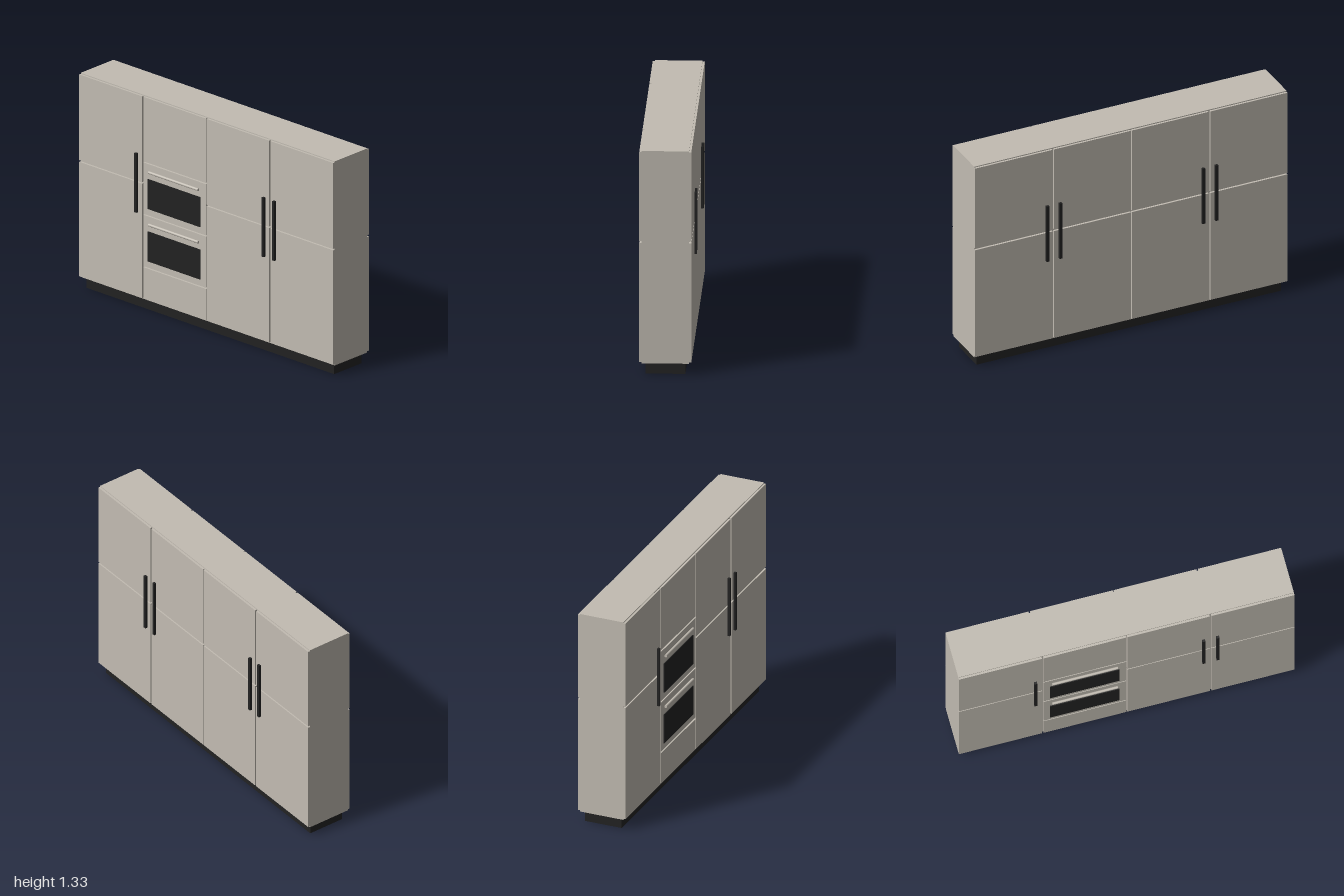
import * as THREE from 'three';

export function createModel() {
  const model = new THREE.Group();
  model.name = 'kitchenCabinetWall';

  const mat = (name, color) => {
    const m = new THREE.MeshStandardMaterial({ color });
    m.name = name;
    return m;
  };
  const lacquer = mat('greige lacquer', 0xc2bcb2);
  const black = mat('matte black', 0x222222);

  // Box given by its limits on each axis
  const box = (name, material, [x0, x1], [y0, y1], [z0, z1], parent = model) => {
    const mesh = new THREE.Mesh(new THREE.BoxGeometry(x1 - x0, y1 - y0, z1 - z0), material);
    mesh.position.set((x0 + x1) / 2, (y0 + y1) / 2, (z0 + z1) / 2);
    mesh.name = name;
    parent.add(mesh);
    return mesh;
  };

  // Carcass and recessed plinth
  box('carcass', lacquer, [-1, 1], [0.067, 1.333], [-0.137, 0.137]);
  box('plinth', black, [-0.975, 0.975], [0, 0.067], [-0.115, 0.115]);

  // Column widths and door heights, leaving narrow shadow gaps
  const columns = [[-1, -0.505], [-0.495, -0.003], [0.003, 0.495], [0.505, 1]];
  const doorRows = [[0.075, 0.785], [0.795, 1.327]];
  const ovenRows = [[0.075, 0.27], [0.28, 0.595], [0.605, 0.92], [0.93, 1.327]];
  const ovenNames = ['lowerDrawer', 'lowerOvenDoor', 'upperOvenDoor', 'topDoor'];

  // One side of the wall: doors and upright bar handles
  const addSide = (name, handleXs, ovenColumn) => {
    const side = new THREE.Group();
    side.name = name;
    columns.forEach((x, i) => {
      const rows = i === ovenColumn ? ovenRows : doorRows;
      rows.forEach((y, j) => {
        const label = i === ovenColumn ? ovenNames[j] : j ? 'upperDoor' : 'lowerDoor';
        box(label, lacquer, x, y, [0.137, 0.15], side);
      });
    });
    for (const x of handleXs) {
      box('barHandle', black, [x - 0.0085, x + 0.0085], [0.6, 0.967], [0.15, 0.165], side);
    }
    model.add(side);
    return side;
  };

  const front = addSide('frontSide', [-0.545, 0.457, 0.541], 1);
  const back = addSide('backSide', [-0.541, -0.457, 0.457, 0.541], -1);
  back.rotation.y = Math.PI;

  // Oven windows and round rails
  for (const [bottom, top, railY] of [[0.318, 0.503, 0.548], [0.643, 0.828, 0.873]]) {
    box('ovenWindow', black, [-0.458, -0.045], [bottom, top], [0.15, 0.155], front);
    const rail = new THREE.Mesh(new THREE.CylinderGeometry(0.0083, 0.0083, 0.39, 20), lacquer);
    rail.rotation.z = Math.PI / 2;
    rail.position.set(-0.25, railY, 0.157);
    rail.name = 'ovenRail';
    front.add(rail);
  }

  return model;
}
